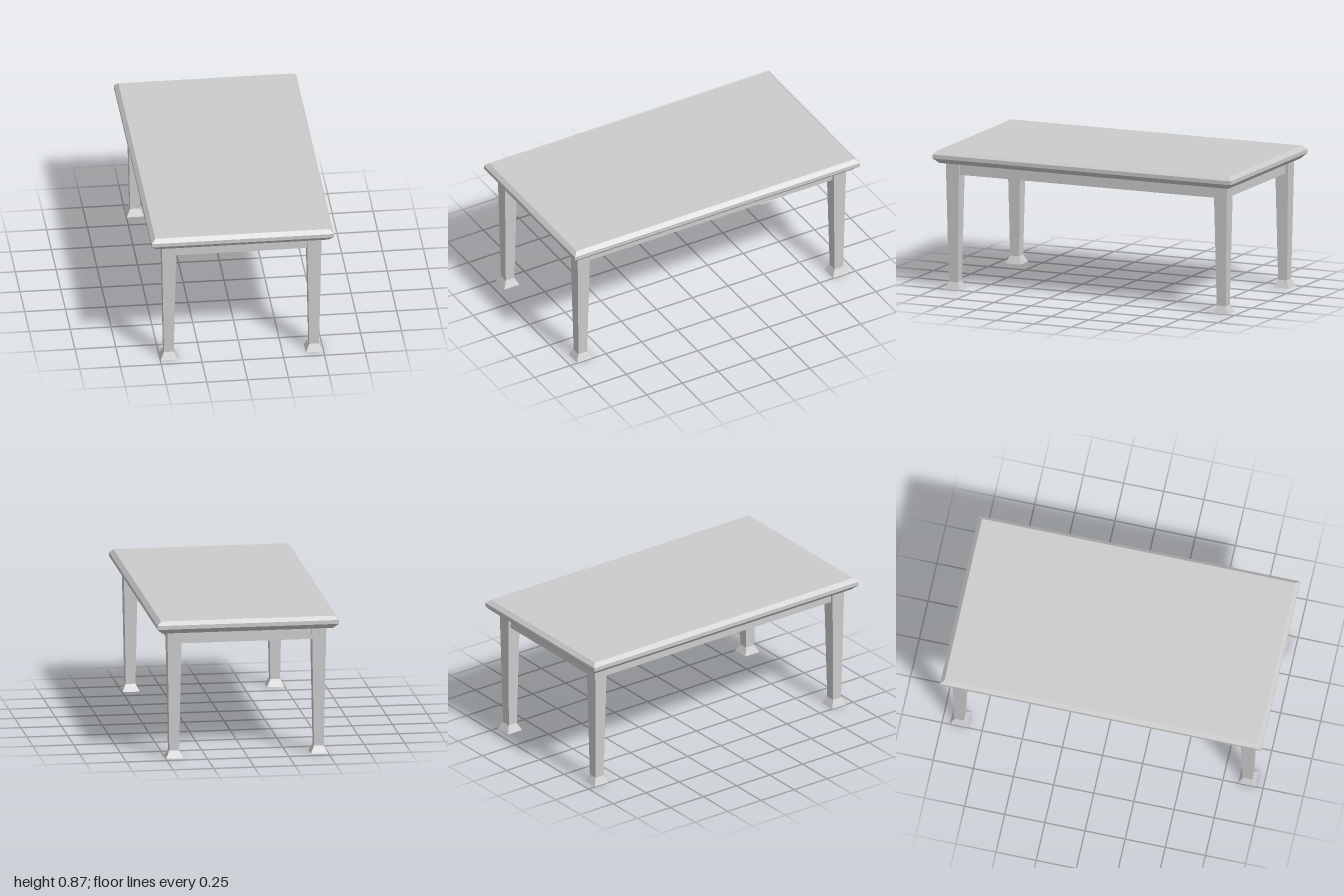
import * as THREE from 'three';

const material = new THREE.MeshStandardMaterial({ color: 0xcccccc, flatShading: true });

// Closed solid through rectangular sections [y, halfX, halfZ], listed bottom to top
function loftRects(sections) {
  const corners = [[-1, 1], [1, 1], [1, -1], [-1, -1]];
  const rings = sections.map(([y, hx, hz]) => corners.map(([sx, sz]) => [sx * hx, y, sz * hz]));
  const pos = [];
  const quad = (a, b, c, d) => pos.push(...a, ...b, ...c, ...a, ...c, ...d);
  for (let i = 0; i < rings.length - 1; i++) {
    for (let k = 0; k < 4; k++) {
      const n = (k + 1) % 4;
      quad(rings[i][k], rings[i][n], rings[i + 1][n], rings[i + 1][k]);
    }
  }
  const [b0, b1, b2, b3] = rings[0];
  quad(b3, b2, b1, b0);
  quad(...rings[rings.length - 1]);
  const geometry = new THREE.BufferGeometry();
  geometry.setAttribute('position', new THREE.Float32BufferAttribute(pos, 3));
  geometry.computeVertexNormals();
  return geometry;
}

export function createModel() {
  const table = new THREE.Group();
  table.name = 'table';

  const add = (name, geometry, x = 0, y = 0, z = 0) => {
    const mesh = new THREE.Mesh(geometry, material);
    mesh.name = name;
    mesh.position.set(x, y, z);
    table.add(mesh);
  };

  // Table top, bevelled above and below
  add('tableTop', loftRects([
    [0.787, 0.526, 0.968],
    [0.818, 0.558, 1.0],
    [0.842, 0.558, 1.0],
    [0.865, 0.534, 0.976],
  ]));

  // Tapered square legs with flared feet
  const legX = 0.445, legZ = 0.898;
  const legGeometry = loftRects([
    [0, 0.053, 0.053],
    [0.045, 0.03, 0.03],
    [0.787, 0.044, 0.044],
  ]);
  for (const [sx, endX] of [[1, 'Left'], [-1, 'Right']]) {
    for (const [sz, endZ] of [[1, 'front'], [-1, 'back']]) {
      add(`${endZ}${endX}Leg`, legGeometry, sx * legX, 0, sz * legZ);
    }
  }

  // Aprons between the legs
  const low = 0.712, high = 0.787, thick = 0.05;
  const apronY = (low + high) / 2;
  const endApron = new THREE.BoxGeometry(2 * legX - 0.05, high - low, thick);
  const sideApron = new THREE.BoxGeometry(thick, high - low, 2 * legZ - 0.05);
  add('frontApron', endApron, 0, apronY, legZ);
  add('backApron', endApron, 0, apronY, -legZ);
  add('leftApron', sideApron, legX, apronY, 0);
  add('rightApron', sideApron, -legX, apronY, 0);

  return table;
}
